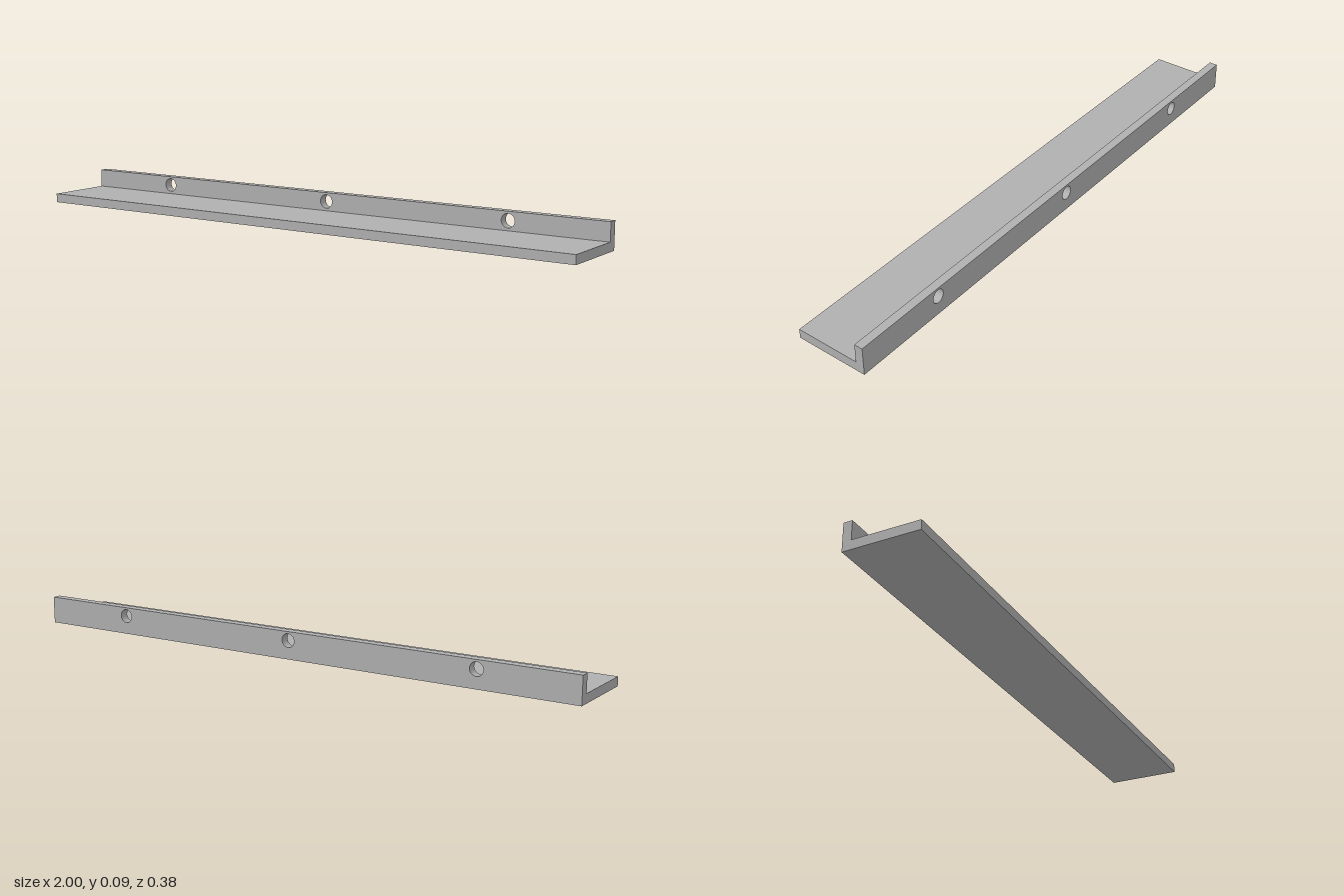
import * as THREE from 'three';

export function createModel() {
  const group = new THREE.Group();
  const grey = new THREE.MeshStandardMaterial({ color: 0xb0b0b0 });

  const height = 0.093, shelfHeight = 0.031, wallThickness = 0.03;
  const back = -0.129, front = 0.129;

  // Skews the rail so its long sides run diagonally while the ends stay square to x
  const skew = new THREE.Matrix4().set(
    1, 0, 0, 0,
    0, 1, 0, 0,
    -0.061, 0, 1, 0,
    0, 0, 0, 1
  );
  const addPart = (name, geometry) => {
    geometry.applyMatrix4(skew);
    const mesh = new THREE.Mesh(geometry, grey);
    mesh.name = name;
    group.add(mesh);
  };

  // Upright back wall with three screw holes
  const wall = new THREE.Shape();
  wall.moveTo(-1, 0).lineTo(1, 0).lineTo(1, height).lineTo(-1, height).closePath();
  for (const x of [-0.667, 0, 0.667]) {
    wall.holes.push(new THREE.Path().absarc(x, 0.063, 0.023, 0, Math.PI * 2, true));
  }
  const wallGeometry = new THREE.ExtrudeGeometry(wall, {
    depth: wallThickness, bevelEnabled: false, curveSegments: 32
  });
  wallGeometry.translate(0, 0, back);
  addPart('backWall', wallGeometry);

  // Flat shelf running forward from the wall
  const shelfDepth = front - back - wallThickness;
  const shelf = new THREE.BoxGeometry(2, shelfHeight, shelfDepth);
  shelf.translate(0, shelfHeight / 2, front - shelfDepth / 2);
  addPart('shelf', shelf);

  return group;
}
